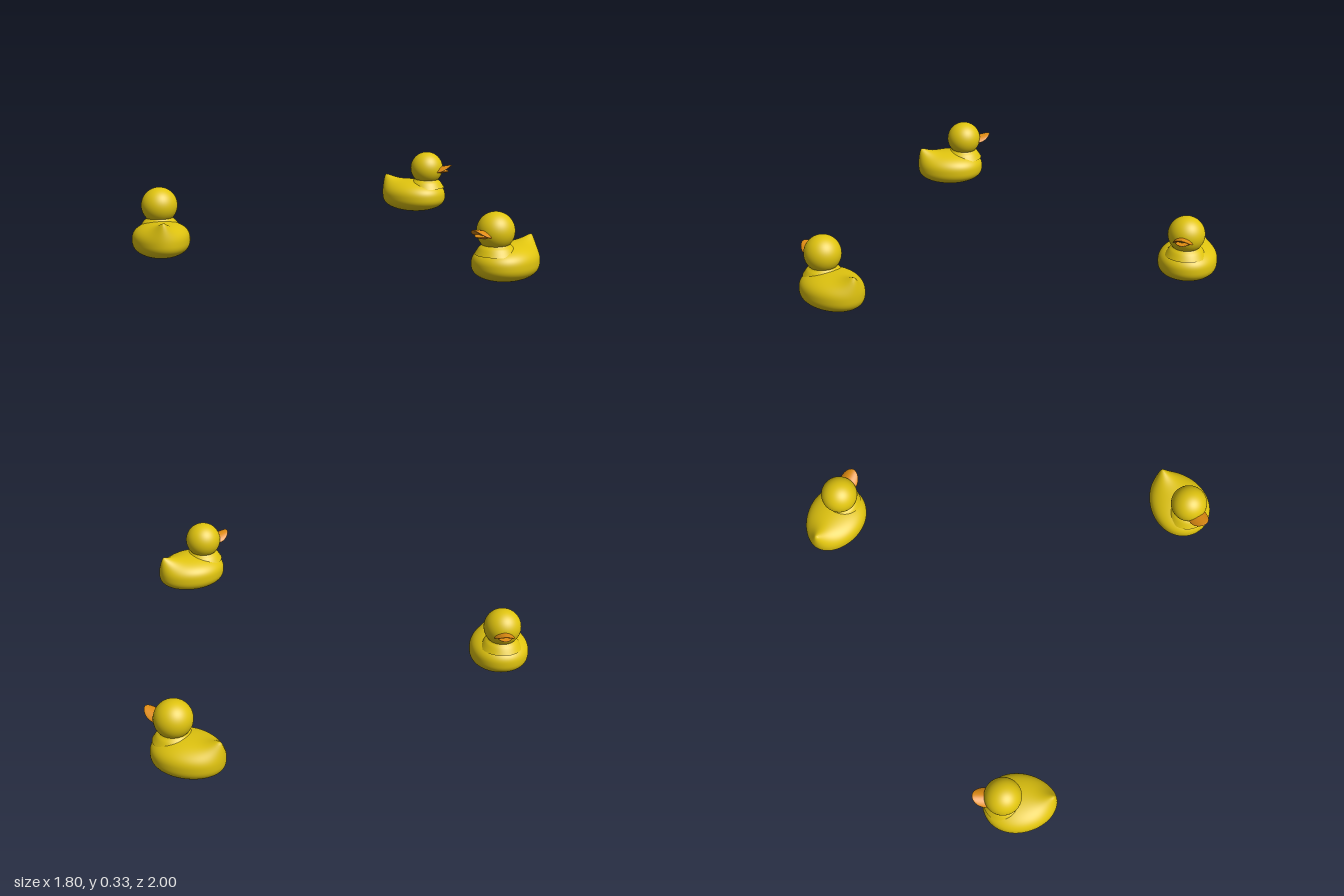
import * as THREE from 'three';

// Sphere whose vertices are moved by a rule working on the unit direction
function moulded(wSeg, hSeg, rule) {
  const g = new THREE.SphereGeometry(1, wSeg, hSeg);
  const p = g.attributes.position;
  const v = new THREE.Vector3();
  for (let i = 0; i < p.count; i++) {
    v.fromBufferAttribute(p, i);
    rule(v);
    p.setXYZ(i, v.x, v.y, v.z);
  }
  g.computeVertexNormals();
  // Share normals across the sphere's seam column
  const n = g.attributes.normal;
  for (let r = 0; r <= hSeg; r++) {
    const a = r * (wSeg + 1), b = a + wSeg;
    v.set(n.getX(a) + n.getX(b), n.getY(a) + n.getY(b), n.getZ(a) + n.getZ(b)).normalize();
    n.setXYZ(a, v.x, v.y, v.z);
    n.setXYZ(b, v.x, v.y, v.z);
  }
  return g;
}

// Egg-shaped body with a flattened base and an upturned, pointed tail
function bodyGeometry() {
  const tail = new THREE.Vector3(0, 0.6, -0.8);
  return moulded(72, 56, (v) => {
    const pull = Math.exp(-Math.pow(v.angleTo(tail) / 0.36, 1.5));
    const y = v.y > 0 ? 0.087 * Math.pow(v.y, 0.8) : -0.084 * Math.pow(-v.y, 0.75);
    v.set(
      0.139 * v.x * (1 + 0.1 * v.z) * (1 - 0.25 * pull),
      0.091 + y + 0.052 * pull,
      -0.031 + 0.174 * v.z - 0.022 * pull
    );
  });
}

// Bill half: flat ellipsoid, bent along its length and arched across its width
function billGeometry({ y, z, width, thick, length, lift, arch }) {
  return moulded(32, 20, (v) => {
    const s = (v.z + 1) / 2;
    const bend = lift * s * s - arch * v.x * v.x;
    v.set(width * v.x, y + thick * v.y * (1.25 - 0.5 * s) + bend, z + length * v.z);
  });
}

export function createModel() {
  const yellow = new THREE.MeshStandardMaterial({ color: 0xe0c40f });
  yellow.name = 'duck yellow';
  const orange = new THREE.MeshStandardMaterial({ color: 0xe08c12 });
  orange.name = 'bill orange';

  const neckProfile = [[0.098, 0.14], [0.08, 0.168], [0.066, 0.181], [0.062, 0.19], [0.066, 0.204]]
    .map(([r, y]) => new THREE.Vector2(r, y));
  const neckCurve = new THREE.SplineCurve(neckProfile).getPoints(16);

  const parts = [
    ['body', bodyGeometry(), yellow],
    ['neck', new THREE.LatheGeometry(neckCurve, 48).translate(0, 0, 0.04), yellow],
    ['head', new THREE.SphereGeometry(0.088, 48, 32).translate(0, 0.246, 0.043), yellow],
    ['upperBill', billGeometry({
      y: 0.243, z: 0.125, width: 0.047, thick: 0.01, length: 0.06, lift: 0.024, arch: 0.018,
    }), orange],
    ['lowerBill', billGeometry({
      y: 0.226, z: 0.115, width: 0.038, thick: 0.008, length: 0.05, lift: 0.006, arch: -0.008,
    }), orange],
  ];

  // Three ducks, each turned a third of a circle from the next
  const places = [
    ['leftDuck', 0.757, 0, 0],
    ['backRightDuck', -0.712, -0.871, 2 * Math.PI / 3],
    ['frontRightDuck', -0.728, 0.833, 4 * Math.PI / 3],
  ];

  const model = new THREE.Group();
  model.name = 'threeDucks';
  for (const [name, x, z, turn] of places) {
    const duck = new THREE.Group();
    duck.name = name;
    for (const [part, geometry, material] of parts) {
      const mesh = new THREE.Mesh(geometry, material);
      mesh.name = part;
      duck.add(mesh);
    }
    duck.position.set(x, -0.005, z);
    duck.rotation.y = turn;
    model.add(duck);
  }
  return model;
}
